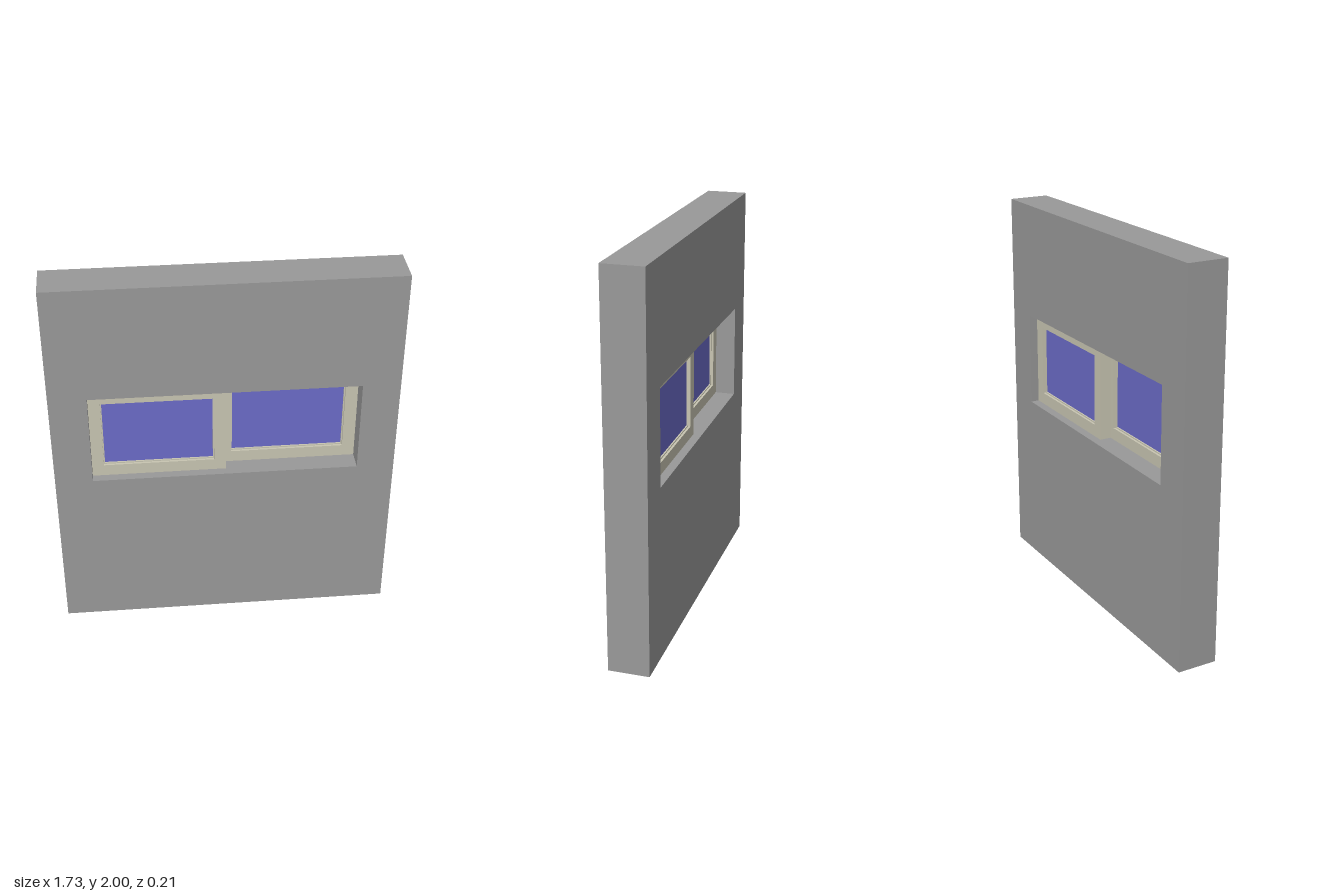
import * as THREE from 'three';

const wallPaint = new THREE.MeshStandardMaterial({ color: 0x999999 });
const framePaint = new THREE.MeshStandardMaterial({ color: 0xc8c5b2 });
const glassBlue = new THREE.MeshStandardMaterial({ color: 0x6b6bc8 });
wallPaint.name = 'wall grey';
framePaint.name = 'frame beige';
glassBlue.name = 'glass blue';

// Rectangle corners, as [x0, y0, x1, y1]
function corners([x0, y0, x1, y1]) {
  return [[x0, y0], [x1, y0], [x1, y1], [x0, y1]].map(([x, y]) => new THREE.Vector2(x, y));
}

// Rectangular slab with a rectangular opening, between z0 and z1
function panel(name, outer, inner, z0, z1, material) {
  const shape = new THREE.Shape(corners(outer));
  shape.holes.push(new THREE.Path(corners(inner)));
  const geometry = new THREE.ExtrudeGeometry(shape, { depth: z1 - z0, bevelEnabled: false });
  geometry.translate(0, 0, z0);
  const mesh = new THREE.Mesh(geometry, material);
  mesh.name = name;
  return mesh;
}

// Sliding sash: frame, slim glazing bead and pane
function sash(name, outer, inner, zMid) {
  const group = new THREE.Group();
  group.name = name;
  const [x0, y0, x1, y1] = inner;
  const b = 0.006;
  group.add(panel('sashFrame', outer, inner, zMid - 0.03, zMid + 0.03, framePaint));
  group.add(panel('glazingBead', inner, [x0 + b, y0 + b, x1 - b, y1 - b], zMid - 0.018, zMid + 0.018, framePaint));
  const pane = new THREE.Mesh(new THREE.BoxGeometry(x1 - x0, y1 - y0, 0.02), glassBlue);
  pane.position.set((x0 + x1) / 2, (y0 + y1) / 2, zMid);
  pane.name = 'glassPane';
  group.add(pane);
  return group;
}

export function createModel() {
  const model = new THREE.Group();
  model.name = 'slidingWindowWall';
  const bottom = 0.905, top = 1.4, side = 0.675;

  // Wall with the window opening
  model.add(panel('wall', [-0.865, 0, 0.865, 2], [-side, bottom, side, top], -0.105, 0.105, wallPaint));

  // Two overlapping sashes on parallel tracks
  model.add(sash('frontSash', [-side, bottom, 0.005, top], [-0.615, 0.967, -0.055, 1.34], 0.03));
  model.add(sash('rearSash', [-0.025, bottom, side, top], [0.035, 0.967, 0.612, 1.34], -0.03));
  return model;
}
